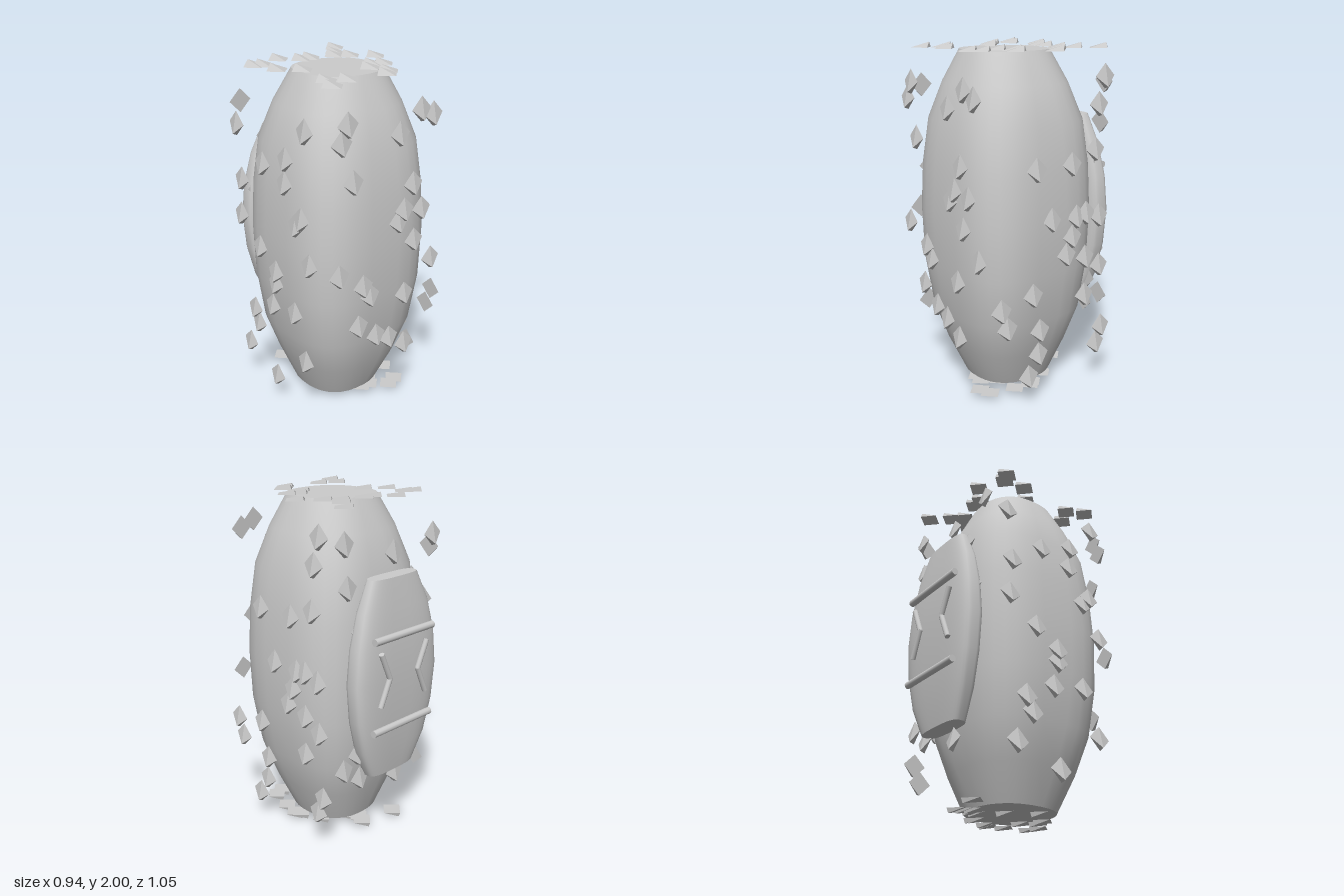
import * as THREE from 'three';

const material = new THREE.MeshStandardMaterial({ color: 0xcccccc });

function add(parent, geometry, name) {
  const mesh = new THREE.Mesh(geometry, material);
  mesh.name = name;
  parent.add(mesh);
  return mesh;
}

// Smooth closed skin through rounded-square rings [y, halfWidth, zFront, zBack, roundness]
function loft(rings, sides = 32) {
  const pos = [], index = [];
  const bend = (v, n) => Math.sign(v) * Math.abs(v) ** (2 / n);
  for (const [y, w, front, back, n] of rings) {
    for (let i = 0; i < sides; i++) {
      const t = ((i + 0.5) / sides) * Math.PI * 2;
      pos.push(w * bend(Math.sin(t), n), y,
        (front + back) / 2 + ((front - back) / 2) * bend(Math.cos(t), n));
    }
  }
  for (let r = 0; r < rings.length - 1; r++) {
    for (let i = 0; i < sides; i++) {
      const a = r * sides + i, b = r * sides + ((i + 1) % sides);
      index.push(a, b, a + sides, b, b + sides, a + sides);
    }
  }
  // flat end caps with their own corners
  for (const r of [0, rings.length - 1]) {
    const start = pos.length / 3;
    for (let i = 0; i < sides; i++) {
      const k = (r * sides + i) * 3;
      pos.push(pos[k], pos[k + 1], pos[k + 2]);
    }
    for (let i = 1; i < sides - 1; i++) {
      if (r === 0) index.push(start, start + i + 1, start + i);
      else index.push(start, start + i, start + i + 1);
    }
  }
  const g = new THREE.BufferGeometry();
  g.setAttribute('position', new THREE.Float32BufferAttribute(pos, 3));
  g.setIndex(index);
  g.computeVertexNormals();
  return g;
}

// Diamond scale: flat base, peak pulled out near its lower corner
function scaleGeometry() {
  const r = 0.07;
  const corners = [[0, r, 0], [-r, 0, 0], [0, -r, 0], [r, 0, 0]];
  const peak = [0, -r * 0.85, 0.028];
  const pos = [];
  corners.forEach((c, i) => pos.push(...c, ...corners[(i + 1) % 4], ...peak));
  for (const i of [0, 2, 1, 0, 3, 2]) pos.push(...corners[i]);
  const g = new THREE.BufferGeometry();
  g.setAttribute('position', new THREE.Float32BufferAttribute(pos, 3));
  g.computeVertexNormals();
  return g;
}

// Round bar between two points
function bar(parent, a, b, radius, name) {
  const from = new THREE.Vector3(...a), to = new THREE.Vector3(...b);
  const mesh = add(parent, new THREE.CylinderGeometry(radius, radius, from.distanceTo(to), 10), name);
  mesh.position.copy(from).add(to).multiplyScalar(0.5);
  mesh.quaternion.setFromUnitVectors(new THREE.Vector3(0, 1, 0), to.sub(from).normalize());
}

// Seeded scatter of [u, v] pairs
function scatter(seed, count, uMin, uMax, vMin, vMax) {
  let s = seed;
  const next = () => (s = (s * 16807) % 2147483647) / 2147483647;
  next();
  return Array.from({ length: count }, (_, i) => [
    uMin + (uMax - uMin) * next(),
    vMin + (vMax - vMin) * ((i + next()) / count),
  ]);
}

const frontSpots = [
  [-0.29, 1.79], [-0.33, 1.7], [0.22, 1.79], [0.31, 1.75], [0.07, 1.68], [-0.25, 1.48], [0.18, 1.38],
  [0.12, 1.24], [0.08, 1.18], [0.25, 1.22], [0.2, 1.04], [-0.34, 0.97], [0.34, 0.89], [-0.17, 0.86],
  [-0.12, 0.79], [0.14, 0.72], [-0.2, 0.62], [-0.07, 0.52], [0.03, 0.47], [0.15, 0.39],
];
const leftSpots = [
  [-0.3, 1.83], [-0.26, 1.68], [-0.24, 1.43], [-0.07, 1.365], [0.18, 1.365], [0.07, 1.07], [-0.11, 1.06],
  [-0.18, 1.07], [-0.28, 1.04], [-0.08, 0.95], [-0.04, 0.85], [-0.18, 0.81], [-0.29, 0.74], [0.2, 0.66],
  [0.42, 0.62], [0.38, 0.51], [-0.18, 0.58], [0.15, 0.44], [0.16, 0.3], [-0.28, 0.25], [0.23, 0.18], [-0.32, 0.35],
];
const topSpots = [
  [-0.35, -0.23], [-0.3, -0.21], [-0.145, -0.29], [-0.31, -0.07], [-0.21, 0.02], [0.23, -0.25], [0.17, -0.18],
  [0.24, -0.12], [0.345, -0.02], [-0.045, -0.21], [0.02, -0.21], [0.18, 0.14], [0.24, 0.165], [0.11, 0.2],
  [-0.27, 0.3], [-0.17, 0.35], [-0.32, 0.41], [0.08, 0.37], [0.135, 0.32], [0.32, -0.36],
];

export function createModel() {
  const model = new THREE.Group();
  model.name = 'scaledBarrel';

  // Barrel body
  add(model, loft([
    [0.03, 0.24, 0.29, -0.2, 2.4], [0.24, 0.325, 0.38, -0.275, 2.7], [0.46, 0.395, 0.445, -0.335, 3],
    [0.75, 0.435, 0.483, -0.365, 3.1], [1.05, 0.445, 0.492, -0.375, 3.1], [1.32, 0.43, 0.48, -0.365, 3.1],
    [1.58, 0.4, 0.447, -0.335, 3], [1.79, 0.33, 0.38, -0.265, 2.7], [1.97, 0.24, 0.3, -0.18, 2.4],
  ]), 'body');

  // Raised pad on the back with its bars and chevrons
  const pad = new THREE.Group();
  pad.name = 'backPad';
  model.add(pad);
  add(pad, loft([
    [0.43, 0.18, -0.348, -0.46, 3.2], [0.6, 0.26, -0.345, -0.485, 3.4], [0.8, 0.31, -0.343, -0.498, 3.5],
    [1.02, 0.33, -0.34, -0.503, 3.5], [1.22, 0.31, -0.343, -0.496, 3.5], [1.41, 0.26, -0.35, -0.478, 3.4],
    [1.58, 0.18, -0.358, -0.452, 3.2],
  ]), 'padShell');
  for (const y of [0.74, 1.27]) bar(pad, [-0.235, y, -0.504], [0.235, y, -0.504], 0.021, 'padBar');
  for (const side of [-1, 1]) {
    const elbow = [side * 0.115, 1.04, -0.508];
    for (const y of [0.885, 1.195]) bar(pad, [side * 0.185, y, -0.508], elbow, 0.016, 'chevronArm');
    const joint = add(pad, new THREE.SphereGeometry(0.016, 10, 8), 'chevronElbow');
    joint.position.set(...elbow);
  }

  // Loose scales floating on six flat planes around the body
  const X = new THREE.Vector3(1, 0, 0), Y = new THREE.Vector3(0, 1, 0), Z = new THREE.Vector3(0, 0, 1);
  const scale = scaleGeometry();
  const layers = [
    ['frontScale', Z, Y, frontSpots, (u, v) => [u, v, 0.495]],
    ['backScale', Z.clone().negate(), Y, scatter(41, 20, -0.36, 0.36, 0.28, 1.86), (u, v) => [u, v, -0.385]],
    ['leftScale', X, Y, leftSpots, (u, v) => [0.44, v, u]],
    ['rightScale', X.clone().negate(), Y, scatter(977, 20, -0.3, 0.38, 0.16, 1.8), (u, v) => [-0.44, v, u]],
    ['topScale', Y, Z, topSpots, (u, v) => [u, 1.972, v]],
    ['bottomScale', Y.clone().negate(), Z, scatter(313, 18, -0.25, 0.31, -0.33, 0.41), (u, v) => [u, 0.028, v]],
  ];
  for (const [name, normal, up, spots, place] of layers) {
    const group = new THREE.Group();
    group.name = name + 's';
    model.add(group);
    const across = new THREE.Vector3().crossVectors(up, normal);
    const turn = new THREE.Matrix4().makeBasis(across, up, normal);
    for (const [u, v] of spots) {
      const mesh = add(group, scale, name);
      mesh.quaternion.setFromRotationMatrix(turn);
      mesh.position.set(...place(u, v));
    }
  }
  return model;
}
